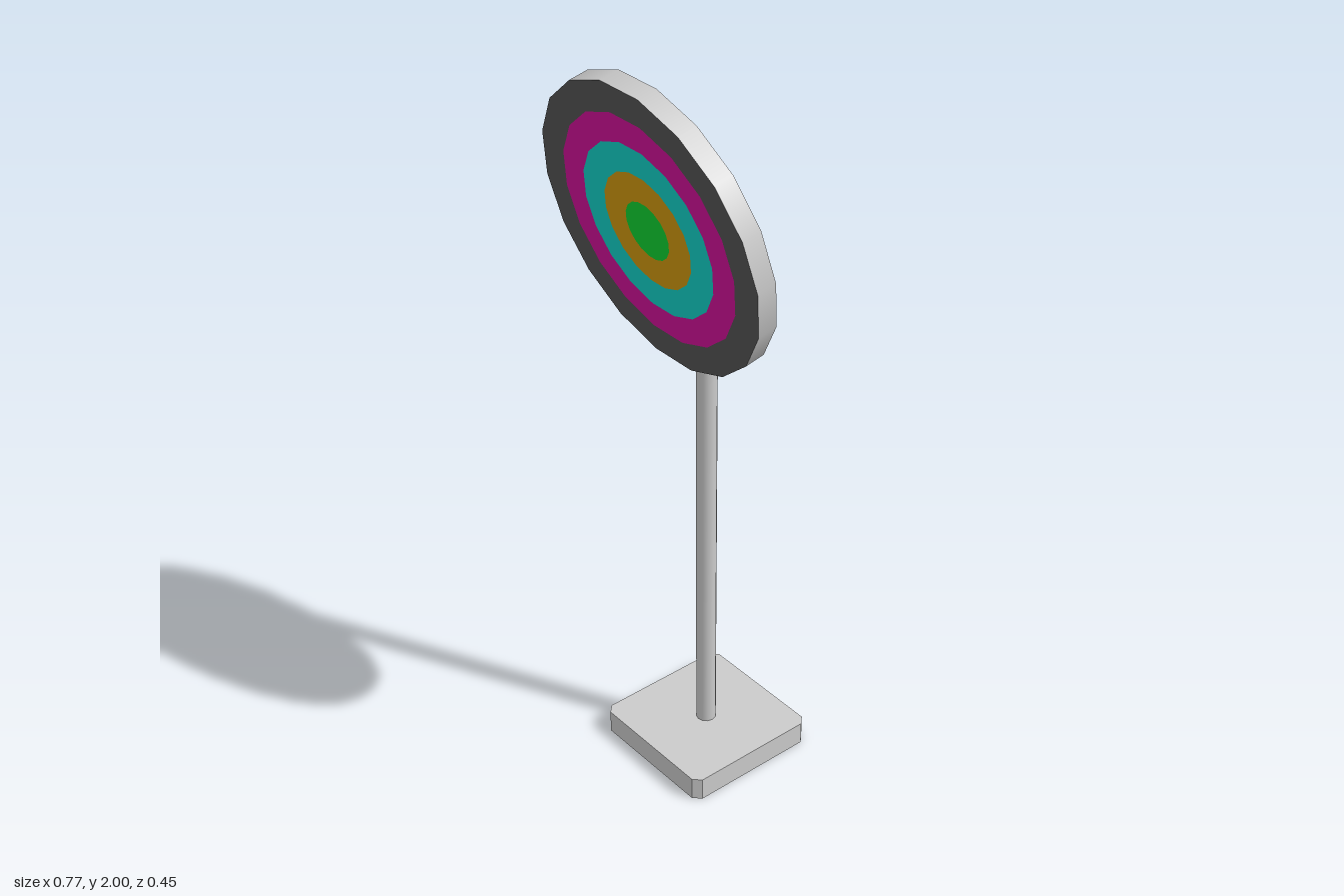
import * as THREE from 'three';

const SIDES = 18;
const DISC_R = 0.385;
const DISC_T = 0.054;
const POLE_Z = -0.03;

function part(name, geometry, color = 0xcccccc, flatShading = false) {
  const mesh = new THREE.Mesh(geometry, new THREE.MeshStandardMaterial({ color, flatShading }));
  mesh.name = name;
  return mesh;
}

// Square foot plate with small cut corners
function makeBase() {
  const h = 0.195, c = 0.02;
  const shape = new THREE.Shape([
    [h, -h + c], [h, h - c], [h - c, h], [-h + c, h],
    [-h, h - c], [-h, -h + c], [-h + c, -h], [h - c, -h],
  ].map(([x, y]) => new THREE.Vector2(x, y)));
  const geo = new THREE.ExtrudeGeometry(shape, { depth: 0.066, bevelEnabled: false });
  geo.rotateX(-Math.PI / 2).translate(0, 0, POLE_Z);
  return part('base', geo, 0xcccccc, true);
}

// Upright tube that bends forward into the back of the disc
function makePole() {
  const r = 0.08, y0 = 1.545, turn = Math.PI / 2 + 0.15, steps = 6;
  const points = [new THREE.Vector3(0, 0.05, POLE_Z)];
  for (let i = 0; i <= steps; i++) {
    const a = turn * i / steps;
    points.push(new THREE.Vector3(0, y0 + r * Math.sin(a), POLE_Z + r - r * Math.cos(a)));
  }
  points.push(new THREE.Vector3(0, 1.619, 0.105));
  const path = new THREE.CurvePath();
  for (let i = 1; i < points.length; i++) path.add(new THREE.LineCurve3(points[i - 1], points[i]));
  return part('pole', new THREE.TubeGeometry(path, 90, 0.027, 12));
}

// Tilted round target: rim, back plate and concentric coloured rings on the face
function makeTarget() {
  const target = new THREE.Group();
  target.name = 'target';

  const rim = new THREE.CylinderGeometry(DISC_R, DISC_R, DISC_T, SIDES, 1, true, Math.PI / 2);
  target.add(part('targetRim', rim.rotateX(Math.PI / 2)));

  const back = new THREE.CircleGeometry(DISC_R, SIDES).rotateY(Math.PI);
  target.add(part('targetBack', back.translate(0, 0, -DISC_T / 2)));

  const rings = [
    ['outerRing', DISC_R, 0x555555],
    ['magentaRing', 0.306, 0xd5109c],
    ['cyanRing', 0.231, 0x12d6cc],
    ['orangeRing', 0.154, 0xd69b0d],
    ['bullseye', 0.077, 0x11d632],
  ];
  rings.forEach(([name, radius, color], i) => {
    const inner = rings[i + 1]?.[1];
    const geo = inner
      ? new THREE.RingGeometry(inner, radius, SIDES)
      : new THREE.CircleGeometry(radius, SIDES);
    target.add(part(name, geo.translate(0, 0, DISC_T / 2), color));
  });

  target.position.set(0, 1.623, 0.1235);
  target.rotation.x = 0.197;
  return target;
}

export function createModel() {
  const model = new THREE.Group();
  model.name = 'targetStand';
  model.add(makeBase(), makePole(), makeTarget());
  return model;
}
